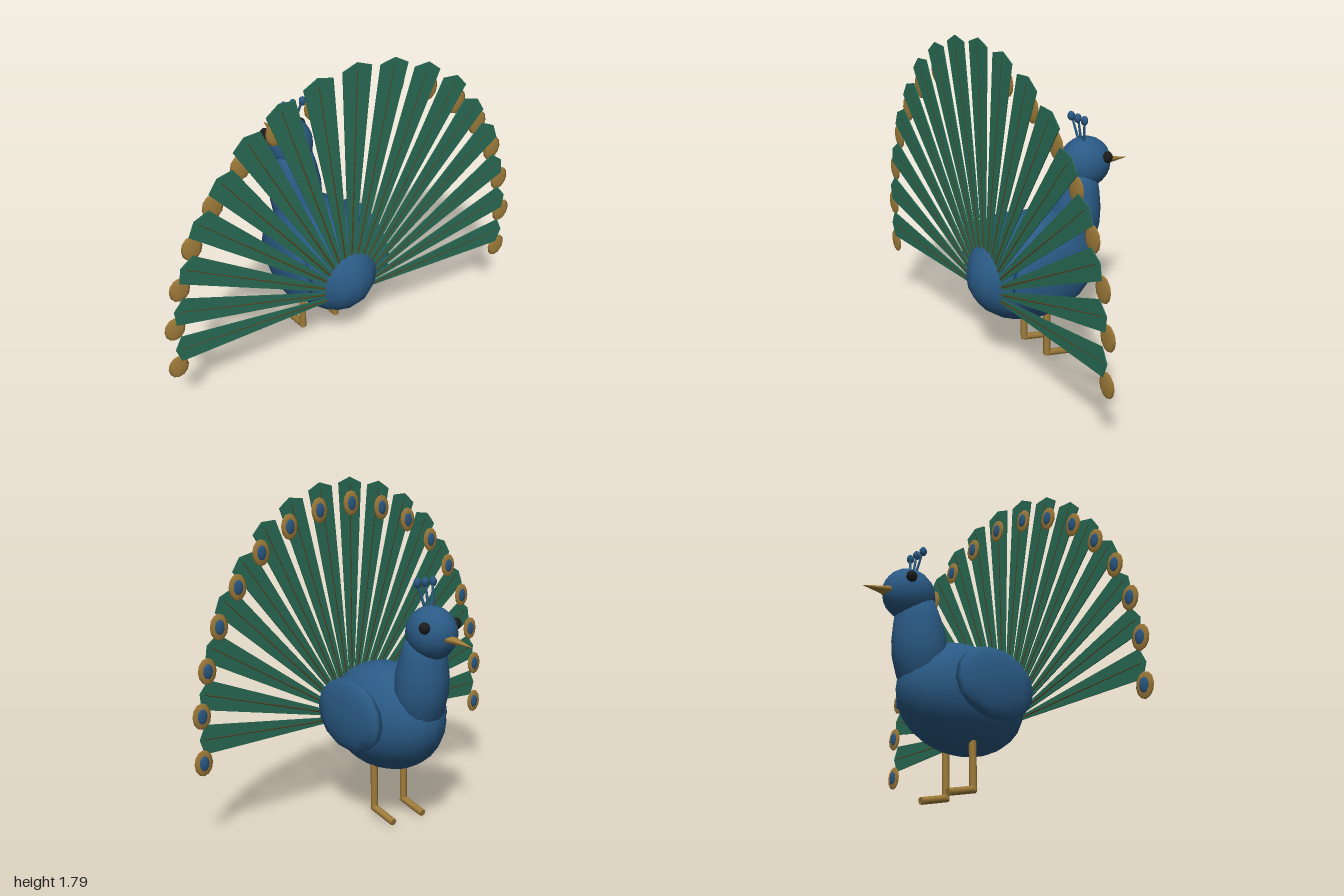
import * as THREE from 'three';

const mat = (color) => new THREE.MeshStandardMaterial({ color });
const blue = mat(0x2a5a85), green = mat(0x2a6b55), gold = mat(0xa07c3a);
const brown = mat(0x5a4220), black = mat(0x1c1c1c);
const V = (x, y, z) => new THREE.Vector3(x, y, z);

export function createModel() {
  const root = new THREE.Group();

  function add(name, geometry, material, parent = root) {
    const mesh = new THREE.Mesh(geometry, material);
    mesh.name = name;
    parent.add(mesh);
    return mesh;
  }

  // Ellipsoid given by centre and half-sizes
  function ellipsoid(name, material, centre, half, w = 16, h = 12, parent = root) {
    const mesh = add(name, new THREE.SphereGeometry(1, w, h), material, parent);
    mesh.position.set(...centre);
    mesh.scale.set(...half);
    return mesh;
  }

  // Round rod between two points
  function rod(name, material, a, b, ra, rb = ra, sides = 8, parent = root) {
    const dir = b.clone().sub(a);
    const mesh = add(name, new THREE.CylinderGeometry(rb, ra, dir.length(), sides), material, parent);
    mesh.position.copy(a).add(b).multiplyScalar(0.5);
    mesh.quaternion.setFromUnitVectors(V(0, 1, 0), dir.normalize());
    return mesh;
  }

  // Body, neck and head (the bird looks towards -z)
  ellipsoid('body', blue, [0, 0.552, 0.132], [0.25, 0.288, 0.375], 20, 14);
  const neckProfile = [[0, 0], [0.08, 0.02], [0.125, 0.09], [0.141, 0.2], [0.138, 0.29],
    [0.122, 0.38], [0.1, 0.47], [0, 0.5]].map(([r, y]) => new THREE.Vector2(r, y));
  const neck = add('neck', new THREE.LatheGeometry(neckProfile, 16), blue);
  neck.position.set(0, 0.53, -0.115);
  neck.rotation.x = -0.11;
  ellipsoid('head', blue, [0, 1.037, -0.212], [0.122, 0.138, 0.145]);

  // Beak: flattened cone dipping slightly to its tip
  const beakGeometry = new THREE.ConeGeometry(1, 0.17, 6);
  beakGeometry.scale(0.046, 1, 0.022);
  const beak = add('beak', beakGeometry, gold);
  beak.position.set(0, 1.012, -0.416);
  beak.rotation.x = -Math.PI / 2 - 0.13;

  // Paired parts
  for (const s of [1, -1]) {
    ellipsoid('eye', black, [s * 0.107, 1.08, -0.275], [0.026, 0.031, 0.031], 8, 6);

    const wing = ellipsoid('wing', blue, [s * 0.225, 0.58, 0.165], [0.058, 0.192, 0.255], 10, 8);
    wing.rotation.x = -0.08;

    const leg = new THREE.Group();
    leg.name = 'leg';
    root.add(leg);
    rod('shank', gold, V(s * 0.103, 0.05, 0.115), V(s * 0.103, 0.36, 0.115), 0.019, 0.019, 8, leg);
    rod('foot', gold, V(s * 0.103, 0.062, 0.125), V(s * 0.103, 0.02, -0.04), 0.019, 0.019, 8, leg);
  }

  // Crest: three stalks with small beads
  for (const i of [-1, 0, 1]) {
    rod('crestStalk', blue, V(i * 0.02, 1.15, -0.188), V(i * 0.052, 1.28, -0.166), 0.008, 0.006, 6);
    ellipsoid('crestBead', blue, [i * 0.054, 1.285, -0.163], [0.02, 0.026, 0.02], 6, 5);
  }

  // Tail fan: tips and eyespots of one half, from the middle outwards
  const pivot = V(0, 0.48, 0.427);
  const tips = [[0, 1.787], [0.2, 1.762], [0.39, 1.69], [0.56, 1.575], [0.695, 1.41],
    [0.815, 1.225], [0.895, 0.995], [0.945, 0.76], [0.955, 0.528]];
  const spots = [[0, 1.65], [0.21, 1.62], [0.4, 1.545], [0.575, 1.425], [0.717, 1.265],
    [0.83, 1.08], [0.905, 0.87], [0.945, 0.65], [0.945, 0.412]];
  const fan = new THREE.Group();
  fan.name = 'tailFan';
  root.add(fan);

  function plume(k, s) {
    const group = new THREE.Group();
    group.name = 'tailFeather';
    fan.add(group);
    const tip = V(s * tips[k][0], tips[k][1], pivot.z);
    const length = tip.distanceTo(pivot);

    // Vane: narrow wedge with a blunt point
    const shape = new THREE.Shape([[-0.008, 0.08], [0.008, 0.08], [0.075, length - 0.03],
      [0, length], [-0.075, length - 0.03]].map(([x, y]) => new THREE.Vector2(x, y)));
    const vane = add('vane', new THREE.ExtrudeGeometry(shape, { depth: 0.005, bevelEnabled: false }),
      green, group);
    vane.position.copy(pivot);
    vane.rotation.z = -Math.atan2(tip.x, tip.y - pivot.y);
    vane.position.z -= 0.0025;

    rod('quill', brown, pivot, pivot.clone().lerp(tip, 0.97), 0.006, 0.004, 5, group);

    // Eyespot on the forward face
    const [x, y] = spots[k];
    ellipsoid('eyespotRim', gold, [s * x, y, 0.416], [0.052, 0.067, 0.009], 8, 6, group);
    ellipsoid('eyespotCentre', blue, [s * x, y, 0.408], [0.027, 0.038, 0.007], 8, 6, group);
  }
  tips.forEach((_, k) => {
    plume(k, 1);
    if (k > 0) plume(k, -1);
  });

  return root;
}
